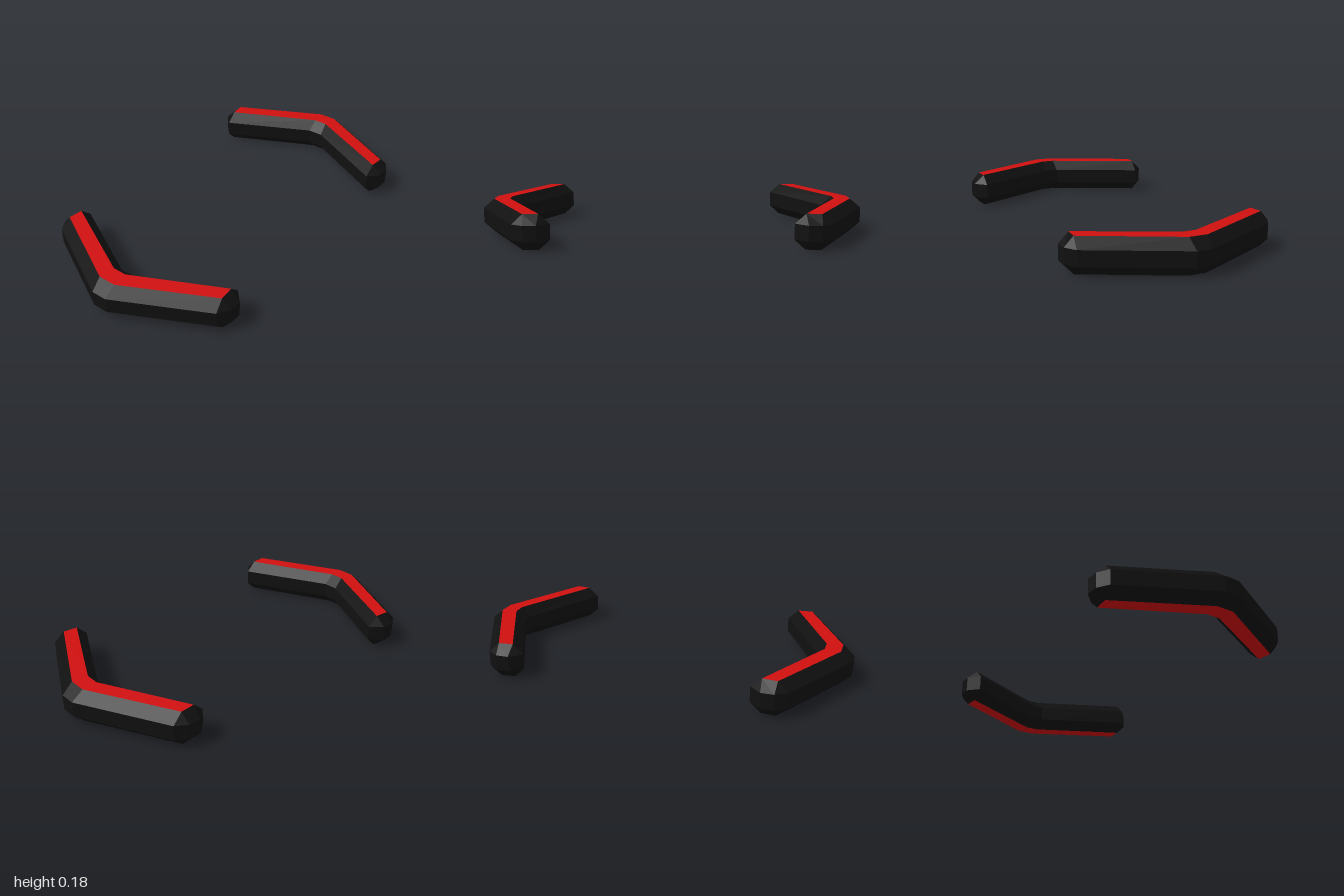
import * as THREE from 'three';

const HEIGHT = 0.176, LOW = 0.049, HIGH = 0.127;

// Half of the stations along the bar, from the bend to the end cap.
// side/flat: [x, z] of the inner and outer edges; flatY: top and bottom inset
const HALF = [
  { side: [[0.807, 0.04], [1, 0.04]], flat: [[0.859, 0.036], [0.941, 0.046]], inset: 0 },
  { side: [[0.585, 0.479], [0.767, 0.497]], flat: [[0.639, 0.482], [0.714, 0.489]], inset: 0 },
  { side: [[0.643, 0.534], [0.709, 0.534]], flat: [[0.643, 0.534], [0.709, 0.534]], inset: LOW },
];

// Eight-point ring; dir mirrors the station to the other arm
function ring({ side, flat, inset }, dir) {
  const p = ([x, z], y) => new THREE.Vector3(x, y, z * dir);
  const top = HEIGHT - inset, bottom = inset;
  return [
    p(side[0], LOW), p(side[0], HIGH), p(flat[0], top), p(flat[1], top),
    p(side[1], HIGH), p(side[1], LOW), p(flat[1], bottom), p(flat[0], bottom),
  ];
}

// Adds a quad as two triangles, skipping collapsed ones
function addQuad(out, a, b, c, d) {
  for (const t of [[a, b, c], [a, c, d]]) {
    if (new THREE.Triangle(...t).getArea() > 1e-7) t.forEach((v) => out.push(v.x, v.y, v.z));
  }
}

function makeMesh(name, positions, color) {
  const geometry = new THREE.BufferGeometry();
  geometry.setAttribute('position', new THREE.Float32BufferAttribute(positions, 3));
  geometry.computeVertexNormals();
  const mesh = new THREE.Mesh(geometry, new THREE.MeshStandardMaterial({ color, flatShading: true }));
  mesh.name = name;
  return mesh;
}

function createBar(name) {
  const rings = [
    ...[...HALF].reverse().map((s) => ring(s, -1)),
    ...HALF.map((s) => ring(s, 1)),
  ];
  const body = [], stripes = [];
  const last = rings.length - 1;
  for (let k = 0; k < last; k++) {
    for (let i = 0; i < 8; i++) {
      const j = (i + 1) % 8;
      // Top and bottom flats between the end chamfers are coloured
      const coloured = (i === 2 || i === 6) && k > 0 && k < last - 1;
      addQuad(coloured ? stripes : body, rings[k][i], rings[k + 1][i], rings[k + 1][j], rings[k][j]);
    }
  }
  // End caps
  const [a, b] = [rings[0], rings[last]];
  addQuad(body, a[0], a[1], a[4], a[5]);
  addQuad(body, b[5], b[4], b[1], b[0]);

  const bar = new THREE.Group();
  bar.name = name;
  bar.add(makeMesh('barBody', body, 0x101010), makeMesh('barStripes', stripes, 0xd01010));
  return bar;
}

export function createModel() {
  const model = new THREE.Group();
  model.name = 'chevronBars';
  const left = createBar('leftBar');
  const right = createBar('rightBar');
  right.rotation.y = Math.PI;
  model.add(left, right);
  return model;
}
